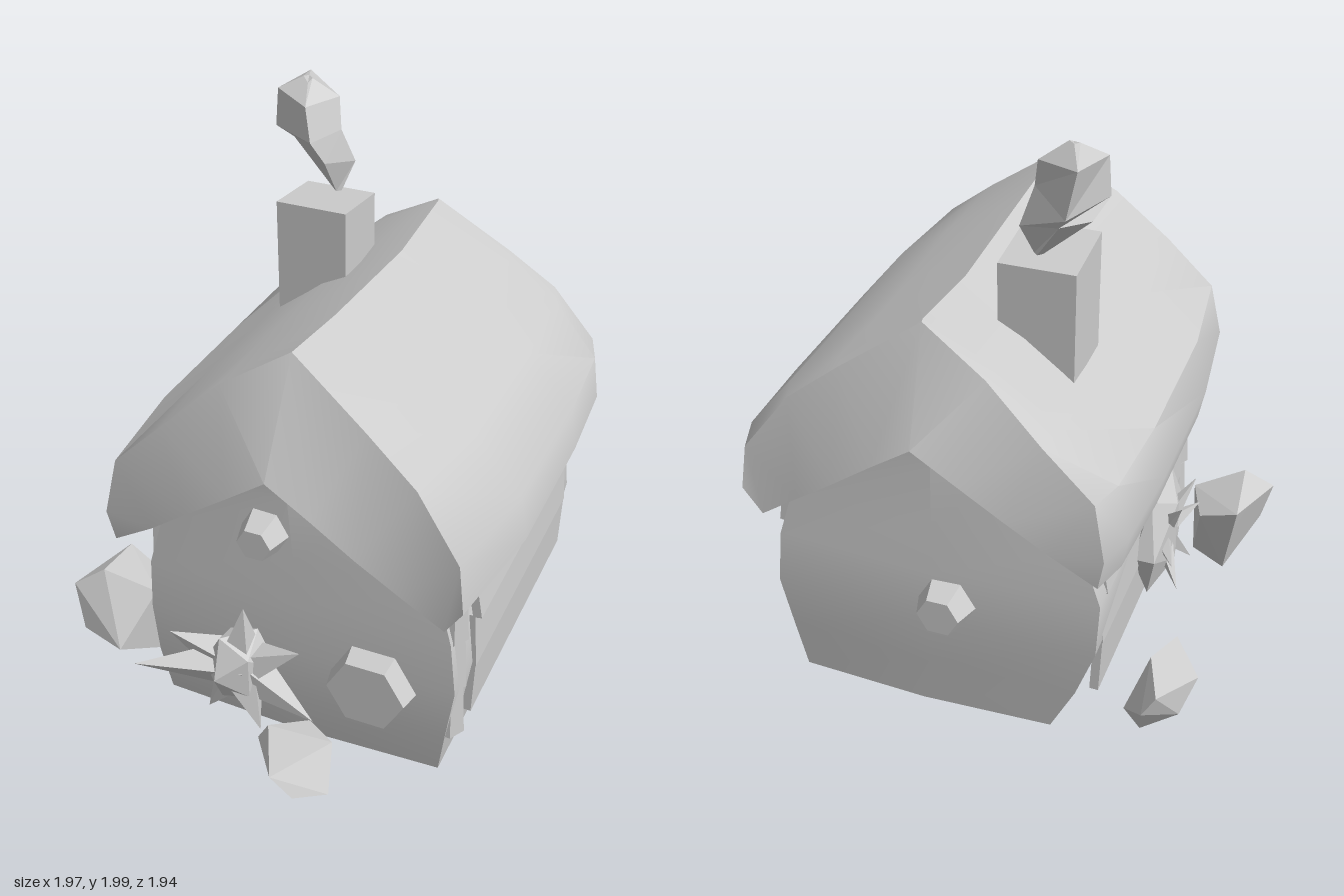
import * as THREE from 'three';
import { toCreasedNormals } from 'three/addons/utils/BufferGeometryUtils.js';
import { ConvexGeometry } from 'three/addons/geometries/ConvexGeometry.js';

const clay = new THREE.MeshStandardMaterial({ color: 0xcccccc });
clay.name = 'clay grey';

function add(parent, name, geometry, crease = 0.6) {
  const mesh = new THREE.Mesh(toCreasedNormals(geometry, crease), clay);
  mesh.name = name;
  parent.add(mesh);
  return mesh;
}

// Skin between equal-length rings; caps are fans, or strips when the ring is a folded shell
function loft(rings, shell = false) {
  const n = rings[0].length, last = (rings.length - 1) * n, idx = [];
  for (let j = 0; j < rings.length - 1; j++) {
    for (let i = 0; i < n; i++) {
      const a = j * n + i, b = j * n + (i + 1) % n;
      idx.push(a, b, b + n, a, b + n, a + n);
    }
  }
  if (shell) {
    for (let i = 0; i < n / 2 - 1; i++) {
      const k = n - 1 - i;
      idx.push(i, k, k - 1, i, k - 1, i + 1);
      idx.push(last + i, last + k - 1, last + k, last + i, last + i + 1, last + k - 1);
    }
  } else {
    for (let i = 1; i < n - 1; i++) {
      idx.push(0, i + 1, i, last, last + i, last + i + 1);
    }
  }
  const g = new THREE.BufferGeometry();
  g.setAttribute('position', new THREE.Float32BufferAttribute(rings.flat(2), 3));
  g.setIndex(idx);
  g.computeVertexNormals();
  return g;
}

// Faceted lump wrapped around a few points
function lump(parent, name, points) {
  add(parent, name, new ConvexGeometry(points.map((p) => new THREE.Vector3(...p))), 0.1);
}

// Faceted ball stretched to a given size
function core(parent, name, pos, size) {
  add(parent, name, new THREE.IcosahedronGeometry(0.52, 0).scale(...size), 0.1).position.set(...pos);
}

// Thin pointed leaf from a root to a tip
function leaf(parent, from, to, radius) {
  const a = new THREE.Vector3(...from), b = new THREE.Vector3(...to);
  const dir = b.clone().sub(a);
  const m = add(parent, 'leaf', new THREE.ConeGeometry(radius, dir.length(), 4), 0.1);
  m.position.copy(a).add(b).multiplyScalar(0.5);
  m.quaternion.setFromUnitVectors(new THREE.Vector3(0, 1, 0), dir.normalize());
}

// Six-sided knob facing outwards along x
function knob(parent, name, pos, radius, depth, taper = 0.65) {
  const m = add(parent, name, new THREE.CylinderGeometry(radius * taper, radius, depth, 6), 0.1);
  m.rotation.z = pos[0] < 0 ? Math.PI / 2 : -Math.PI / 2;
  m.position.set(...pos);
}

export function createModel() {
  const model = new THREE.Group();
  model.name = 'cottage';

  // House stands diagonally: local x runs along the ridge
  const house = new THREE.Group();
  house.name = 'house';
  house.rotation.y = Math.PI / 4;
  model.add(house);

  // Walls bulge and close into gables: [y, door end, far end, back at door end, back at far end, front]
  const wallRows = [
    [0.01, -0.57, 0.6, -0.45, -0.34, 0.56], [0.2, -0.6, 0.62, -0.47, -0.43, 0.59],
    [0.4, -0.61, 0.64, -0.48, -0.5, 0.62], [0.6, -0.61, 0.64, -0.47, -0.51, 0.6],
    [0.78, -0.6, 0.62, -0.42, -0.44, 0.55], [1.0, -0.6, 0.62, -0.18, -0.18, 0.28],
    [1.14, -0.6, 0.62, 0.03, 0.03, 0.07],
  ];
  add(house, 'walls', loft(wallRows.map(([y, l, r, bl, br, f]) => [
    [l, y, f], [r, y, f], [r + 0.02, y, (br + f) / 2], [r, y, br], [l, y, bl], [l - 0.02, y, (bl + f) / 2],
  ])), 0.7);

  // Overlapping boards on both long walls
  for (const side of [1, -1]) {
    for (let i = 0; i < 3; i++) {
      const b = add(house, 'board', new THREE.BoxGeometry(1.0, 0.21, 0.03));
      b.position.set(0.06, 0.285 + i * 0.205, side > 0 ? 0.612 : -0.48);
      b.rotation.x = side * (0.04 - i * 0.1);
    }
  }

  // Rounded stones stacked at the corners of the door end
  for (const v of [0.575, -0.44]) {
    for (let i = 0; i < 3; i++) {
      const s = add(house, 'cornerStone', new THREE.CylinderGeometry(0.05, 0.06, 0.19, 6), 0.9);
      s.position.set(-0.54, 0.28 + i * 0.2, v);
    }
  }

  // Sagging thatched roof: outer and inner profile as [across, y, end pull-in]
  const outer = [[-0.55, 0.86, 0], [-0.51, 1.05, 0.02], [-0.34, 1.21, 0.03], [-0.15, 1.38, 0.07],
    [0.07, 1.51, 0.12], [0.33, 1.33, 0.07], [0.5, 1.2, 0.04], [0.65, 1.0, 0.01], [0.67, 0.84, 0]];
  const inner = [[0.61, 0.745, 0.01], [0.47, 0.85, -0.01], [0.33, 0.955, -0.03], [0.19, 1.06, -0.04],
    [0.05, 1.16, -0.05], [-0.09, 1.06, -0.04], [-0.24, 0.955, -0.03], [-0.38, 0.85, -0.01], [-0.53, 0.75, 0.01]];
  // Stations along the ridge: [position, ridge lift, pull direction, eave bow]
  const stations = [[-0.72, 0.03, 1, 0], [-0.3, 0, 0, 0.09], [0.25, -0.04, 0, 0.09],
    [0.6, -0.01, 0, 0.06], [0.74, -0.01, -1, -0.01]];
  add(house, 'roof', loft(stations.map(([u, lift, pull, bow]) =>
    [...outer, ...inner].map(([v, y, d]) =>
      [u + d * pull, y + lift * Math.max(0, (y - 0.85) / 0.65), v * (1 + bow)])), true), 0.62);

  // Chimney with an uneven top
  const c = 0.125;
  const square = (y, t) => [[-c, y + t, c], [c, y, c], [c, y, -c], [-c, y + t, -c]];
  const chimney = add(house, 'chimney', loft([square(1.15, 0), square(1.6, 0.03)]));
  chimney.position.set(0.25, 0, -0.2);

  // Small fittings on the gables
  knob(house, 'gableWindow', [-0.65, 0.87, -0.03], 0.09, 0.11);
  knob(house, 'rearWindow', [0.68, 0.49, 0.0], 0.11, 0.12);
  knob(house, 'hangingSign', [-0.77, 0.48, 0.39], 0.145, 0.07, 0.9);

  // Wreath on the back long wall
  const hub = [-0.05, 0.42, -0.52];
  core(house, 'wreath', hub, [0.46, 0.44, 0.14]);
  for (let i = 0; i < 6; i++) {
    const a = i * Math.PI / 3;
    leaf(house, hub, [hub[0] + 0.2 * Math.cos(a), hub[1] + 0.2 * Math.sin(a), -0.62], 0.05);
  }

  // Spiky plant beside the sign
  const plant = new THREE.Group();
  plant.name = 'spikyPlant';
  model.add(plant);
  const root = [-0.58, 0.4, 0.47];
  core(plant, 'plantCore', root, [0.24, 0.28, 0.2]);
  const tips = [[-0.91, 0.43, 0.38], [-0.78, 0.51, 0.36], [-0.57, 0.65, 0.5], [-0.43, 0.52, 0.63],
    [-0.4, 0.24, 0.66], [-0.68, 0.2, 0.42], [-0.56, 0.21, 0.6]];
  for (const t of tips) leaf(plant, root, t, 0.09);

  // Faceted pot and bushes around the base
  lump(model, 'pot', [[-0.54, 0.24, 0.62], [-0.37, 0.23, 0.76], [-0.42, 0.01, 0.66], [-0.6, 0.2, 0.8],
    [-0.42, 0.1, 0.85], [-0.54, 0.12, 0.84], [-0.4, 0.22, 0.63], [-0.57, 0.18, 0.6], [-0.48, 0.04, 0.74]]);
  lump(model, 'sideBush', [[-0.98, 0.34, -0.2], [-0.88, 0.41, -0.15], [-0.74, 0.36, -0.32], [-0.66, 0.3, -0.2],
    [-0.72, 0.05, -0.08], [-0.78, 0.02, -0.2], [-0.97, 0.17, -0.15], [-0.88, 0.15, -0.01], [-0.72, 0.33, -0.06]]);
  lump(model, 'rearBush', [[-0.27, 0.2, -0.85], [-0.17, 0.12, -0.9], [-0.04, 0.29, -0.96], [0, 0.22, -0.94],
    [-0.06, 0.05, -0.84], [-0.2, 0.03, -0.68], [-0.1, 0.33, -0.82], [-0.26, 0.28, -0.72], [-0.03, 0.1, -0.78]]);

  // Faceted smoke puff: rings of [x, y, z]
  add(model, 'smoke', loft([
    [[0.08, 1.62, -0.34], [0.1, 1.62, -0.34], [0.1, 1.62, -0.36], [0.08, 1.62, -0.36]],
    [[0.02, 1.75, -0.29], [0.15, 1.72, -0.34], [0.09, 1.76, -0.48], [-0.01, 1.77, -0.5]],
    [[-0.03, 1.83, -0.29], [0.1, 1.84, -0.34], [0.1, 1.81, -0.54], [-0.08, 1.83, -0.48]],
    [[-0.03, 1.94, -0.33], [0.11, 1.94, -0.38], [0.08, 1.97, -0.57], [-0.07, 1.96, -0.48]],
    [[0.01, 1.99, -0.41], [0.03, 2.0, -0.42], [0.03, 2.0, -0.45], [0.01, 2.0, -0.45]],
  ]), 0.1);

  return model;
}
